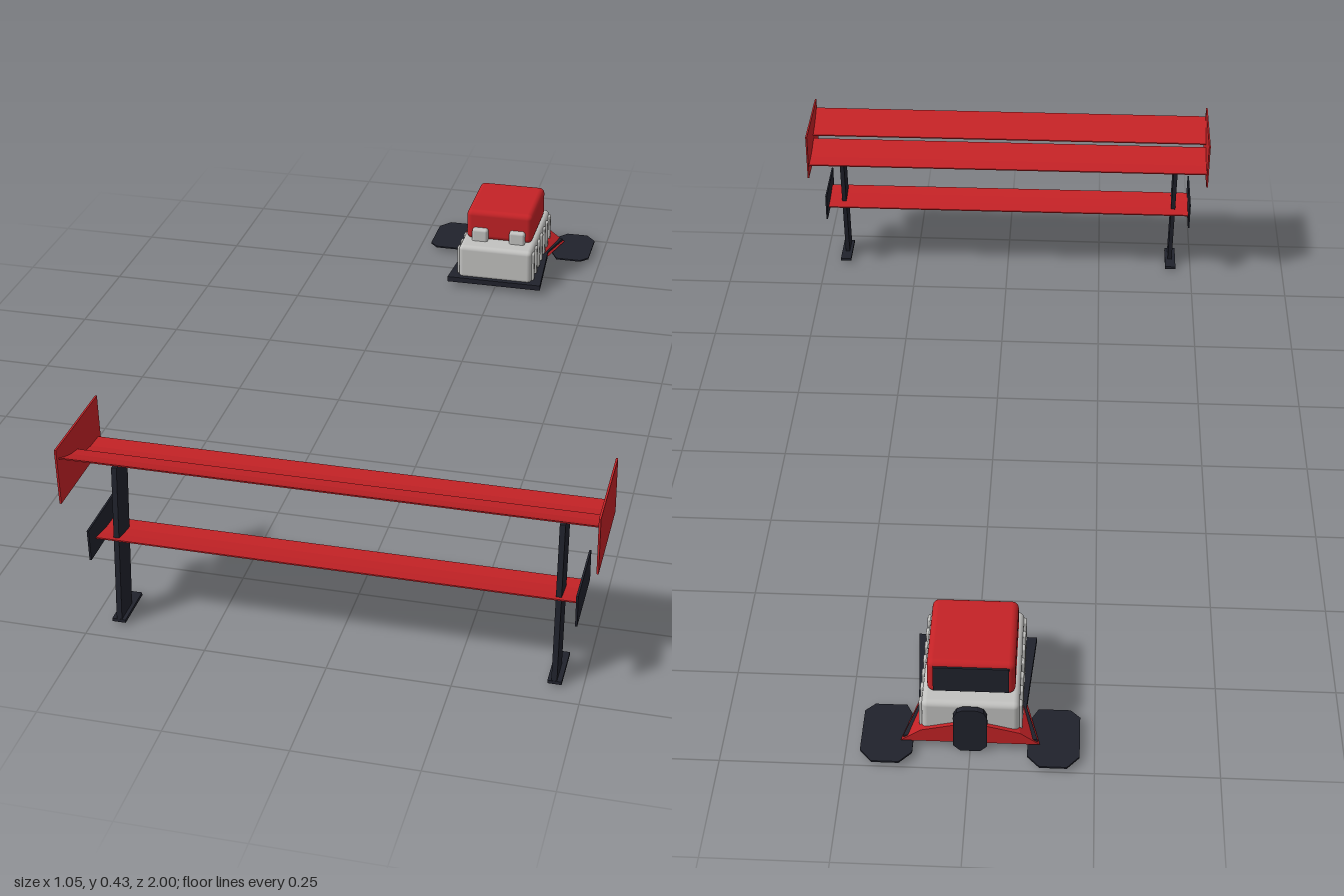
import * as THREE from 'three';
import { RoundedBoxGeometry } from 'three/addons/geometries/RoundedBoxGeometry.js';
import { ConvexGeometry } from 'three/addons/geometries/ConvexGeometry.js';

const red = new THREE.MeshStandardMaterial({ color: 0xc42226 });
const dark = new THREE.MeshStandardMaterial({ color: 0x20222c });
const grey = new THREE.MeshStandardMaterial({ color: 0xc2c2c0 });
red.name = 'red paint';
dark.name = 'dark carbon';
grey.name = 'grey metal';

export function createModel() {
  const model = new THREE.Group();
  const wing = new THREE.Group();
  const engine = new THREE.Group();
  wing.name = 'wing';
  engine.name = 'engine';
  model.add(wing, engine);

  const add = (parent, name, geometry, material, x = 0, y = 0, z = 0) => {
    const mesh = new THREE.Mesh(geometry, material);
    mesh.name = name;
    mesh.position.set(x, y, z);
    parent.add(mesh);
    return mesh;
  };
  // box given by its limits on each axis
  const box = (parent, name, material, [x0, x1], [y0, y1], [z0, z1]) =>
    add(parent, name, new THREE.BoxGeometry(x1 - x0, y1 - y0, z1 - z0), material,
      (x0 + x1) / 2, (y0 + y1) / 2, (z0 + z1) / 2);
  const shapeOf = (points) => new THREE.Shape(points.map(([a, b]) => new THREE.Vector2(a, b)));
  const extrude = (points, depth) =>
    new THREE.ExtrudeGeometry(shapeOf(points), { depth, bevelEnabled: false });
  // side profile in (z, y), extruded across x
  const across = (points, width) =>
    extrude(points, width).translate(0, 0, -width / 2).rotateY(-Math.PI / 2);
  // floor outline in (x, z), extruded upwards from y
  const slab = (points, y, height) =>
    extrude(points.map(([x, z]) => [x, -z]), height).rotateX(-Math.PI / 2).translate(0, y, 0);
  // thin, gently curved blade following a line of (z, y) points
  const blade = (name, line, width) => {
    const under = line.map(([z, y]) => [z, y - 0.003]);
    add(wing, name, across([...under, ...line.slice().reverse()], width), red);
  };

  // Wing blades
  blade('mainBlade', [[0.8, 0.342], [0.84, 0.344], [0.875, 0.351], [0.908, 0.362]], 1.046);
  blade('flapBlade', [[0.903, 0.375], [0.935, 0.383], [0.965, 0.395], [0.992, 0.409]], 1.046);
  blade('lowerBlade', [[0.85, 0.186], [0.885, 0.188], [0.915, 0.193], [0.945, 0.2]], 0.968);

  for (const s of [-1, 1]) {
    // Wing ends and supports
    add(wing, 'endPlate', new THREE.BoxGeometry(0.004, 0.121, 0.212), red, s * 0.524, 0.3695, 0.894);
    add(wing, 'lowerEndPlate', new THREE.BoxGeometry(0.004, 0.069, 0.155), dark, s * 0.485, 0.2, 0.8975);
    add(wing, 'support', across([[0.9, 0.01], [0.957, 0.01], [0.916, 0.35], [0.858, 0.342]], 0.011),
      dark, s * 0.444);
    add(wing, 'supportFoot', new THREE.BoxGeometry(0.028, 0.007, 0.096), dark, s * 0.445, 0.0115, 0.909);
  }

  // Tray under the engine
  add(engine, 'tray', slab([[-0.125, -0.643], [0.125, -0.643], [0.11, -0.85], [0.135, -0.94],
    [-0.135, -0.94], [-0.11, -0.85]], 0.016, 0.014), dark);

  // Engine block with ribbed sides
  add(engine, 'block', new RoundedBoxGeometry(0.196, 0.094, 0.28, 3, 0.012), grey, 0, 0.071, -0.795);
  for (const s of [-1, 1]) {
    for (let i = 0; i < 7; i++) {
      add(engine, 'sideRib', new RoundedBoxGeometry(0.012, 0.078, 0.018, 2, 0.004), grey,
        s * 0.098, 0.07, -0.675 - i * 0.04);
    }
    // Outlet stubs
    add(engine, 'outlet', new RoundedBoxGeometry(0.042, 0.045, 0.04, 3, 0.007), grey,
      s * 0.05, 0.129, -0.715);
  }

  // Intake housing with dark opening
  add(engine, 'intakeHousing', new RoundedBoxGeometry(0.177, 0.083, 0.195, 3, 0.014), red,
    0, 0.1565, -0.807);
  box(engine, 'intakeOpening', dark, [-0.076, 0.076], [0.126, 0.188], [-0.908, -0.901]);

  for (const s of [-1, 1]) {
    // Sloping side arm
    const corners = [[0.02, 0.02, -0.944], [0.02, 0.07, -0.944], [0.1, 0.05, -0.944],
      [0.14, 0.02, -0.944], [0.13, 0.018, -0.915], [0.108, 0.022, -0.82], [0.09, 0.022, -0.82],
      [0.09, 0.045, -0.87]];
    add(engine, 'sideArm', new ConvexGeometry(corners.map(([x, y, z]) =>
      new THREE.Vector3(s * x, y, z))), red);
    // Flat pad with cut corners
    const pad = [[0.135, -0.842], [0.2, -0.842], [0.22, -0.862], [0.22, -0.97], [0.195, -1],
      [0.14, -1], [0.115, -0.972], [0.115, -0.88]];
    add(engine, 'pad', slab(pad.map(([x, z]) => [s * x, z]), 0.013, 0.004), dark);
  }

  // Rounded upright plate between the arms
  add(engine, 'uprightPlate', extrude([[-0.02, 0], [0.02, 0], [0.034, 0.014], [0.034, 0.092],
    [0.027, 0.106], [0.014, 0.112], [-0.014, 0.112], [-0.027, 0.106], [-0.034, 0.092],
    [-0.034, 0.014]], 0.012), dark, 0, 0.002, -0.95);

  return model;
}
